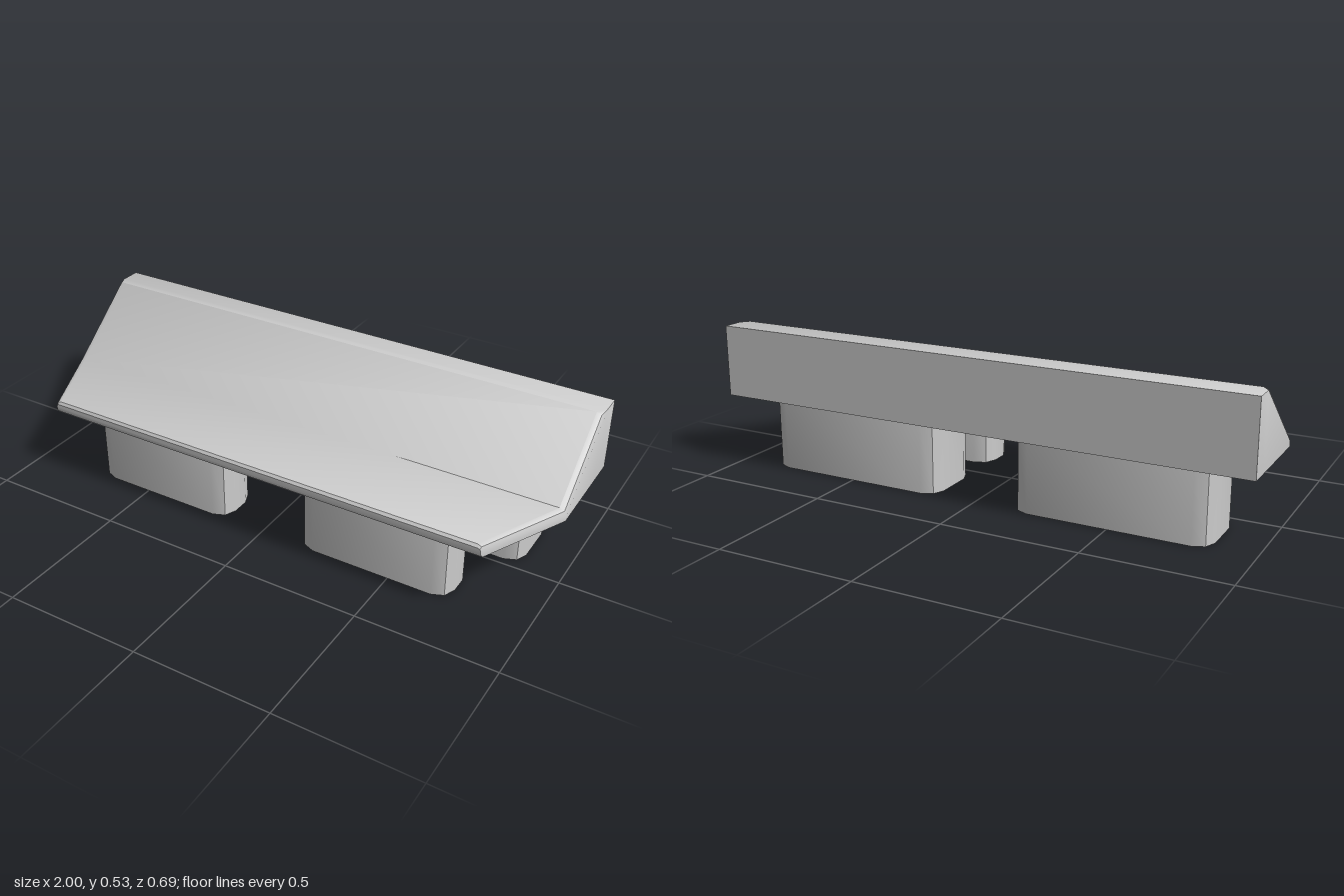
import * as THREE from 'three';
import { toCreasedNormals } from 'three/addons/utils/BufferGeometryUtils.js';

const material = new THREE.MeshStandardMaterial({ color: 0xcccccc });

function addMesh(group, geometry, name, crease) {
  const mesh = new THREE.Mesh(toCreasedNormals(geometry, crease), material);
  mesh.name = name;
  group.add(mesh);
}

// Cross-section: flat bottom, upright sides, eased upper corners
function section({ z, w, b, h, f }) {
  const right = [[w, b], [w, h - f], [w - 0.3 * f, h - 0.3 * f], [w - f, h]];
  const left = right.map(([x, y]) => [-x, y]).reverse();
  return [...right, ...left].map(([x, y]) => [x, y, z]);
}

// Skin the cross-sections from back to front and close both ends
function loft(stations) {
  const rings = stations.map(section);
  const n = rings[0].length;
  const index = [];
  for (let i = 0; i < rings.length - 1; i++) {
    for (let j = 0; j < n; j++) {
      const k = (j + 1) % n;
      const a = i * n + j, b = i * n + k;
      index.push(a, b, b + n, a, b + n, a + n);
    }
  }
  const last = (rings.length - 1) * n;
  for (let j = 1; j < n - 1; j++) {
    index.push(0, j + 1, j);
    index.push(last, last + j, last + j + 1);
  }
  const geometry = new THREE.BufferGeometry();
  geometry.setAttribute('position', new THREE.Float32BufferAttribute(rings.flat(2), 3));
  geometry.setIndex(index);
  return geometry;
}

// Upright block with rounded vertical corners
function footGeometry(x0, x1, z0, z1, height) {
  const r = 0.06;
  const s = new THREE.Shape();
  s.moveTo(x0 + r, -z1);
  s.absarc(x1 - r, -z1 + r, r, -Math.PI / 2, 0);
  s.absarc(x1 - r, -z0 - r, r, 0, Math.PI / 2);
  s.absarc(x0 + r, -z0 - r, r, Math.PI / 2, Math.PI);
  s.absarc(x0 + r, -z1 + r, r, Math.PI, Math.PI * 1.5);
  const geometry = new THREE.ExtrudeGeometry(s, { depth: height, bevelEnabled: false, curveSegments: 1 });
  return geometry.rotateX(-Math.PI / 2);
}

export function createModel() {
  const group = new THREE.Group();

  // Body: high back, sloped face, thin tapering front plate with an eased lip
  const b = 0.27;
  addMesh(group, loft([
    { z: -0.345, w: 1, b, h: 0.532, f: 0.001 },
    { z: -0.27, w: 1, b, h: 0.532, f: 0.001 },
    { z: -0.24, w: 1, b, h: 0.532, f: 0.025 },
    { z: 0.028, w: 1, b, h: 0.313, f: 0.025 },
    { z: 0.338, w: 0.85, b, h: 0.313, f: 0.02 },
    { z: 0.345, w: 0.845, b: 0.282, h: 0.303, f: 0.01 },
  ]), 'body', 0.6);

  // Two pairs of feet, the rear ones larger
  for (const [side, sign] of [['left', 1], ['right', -1]]) {
    const span = (inner, outer) => (sign > 0 ? [inner, outer] : [-outer, -inner]);
    addMesh(group, footGeometry(...span(0.15, 0.72), 0.092, 0.275, b), side + 'FrontFoot', 0.6);
    addMesh(group, footGeometry(...span(0.15, 0.85), -0.288, -0.026, b), side + 'RearFoot', 0.6);
  }
  return group;
}
